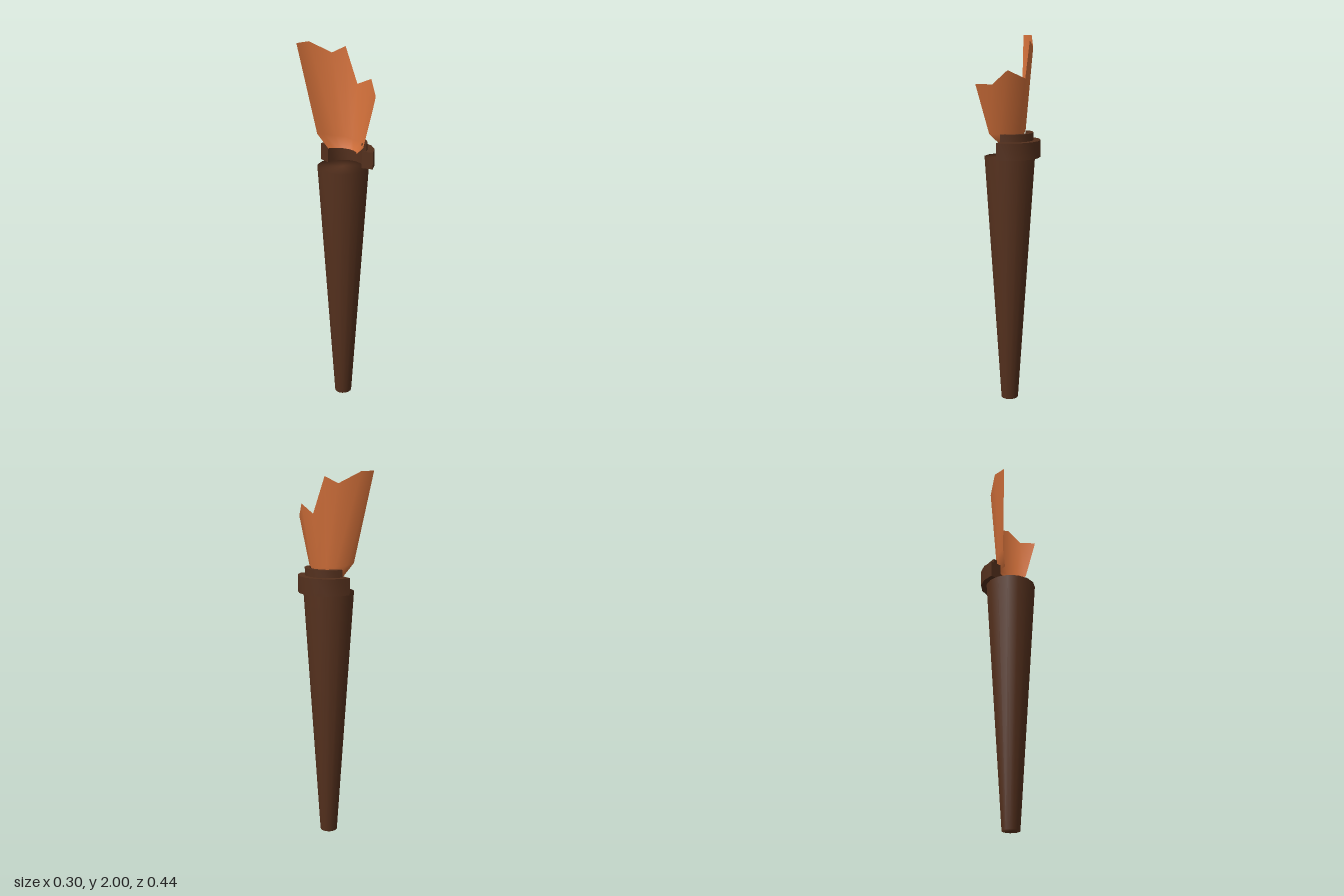
import * as THREE from 'three';
import { mergeVertices, toCreasedNormals } from 'three/addons/utils/BufferGeometryUtils.js';

const wood = new THREE.MeshStandardMaterial({ color: 0x54301d });
const flameMaterial = new THREE.MeshStandardMaterial({ color: 0xd2703a, side: THREE.DoubleSide });
const rad = THREE.MathUtils.degToRad;

function addPart(group, name, geometry, material) {
  const mesh = new THREE.Mesh(geometry, material);
  mesh.name = name;
  group.add(mesh);
  return mesh;
}

// Tapered handle with smooth shading running over the closed ends
function handleGeometry() {
  const g = new THREE.CylinderGeometry(0.136, 0.047, 1.37, 15, 1, false, rad(108.4));
  g.deleteAttribute('uv');
  g.deleteAttribute('normal');
  const merged = mergeVertices(g, 1e-4);
  merged.computeVertexNormals();
  return merged.translate(-0.015, 0.685, 0);
}

// Half ring standing on y, opening towards -x, with slanted ends
function halfRingGeometry(inner, outer, y, height, outerArc, innerArc) {
  const steps = 7;
  const arc = (r, from, to) => Array.from({ length: steps + 1 }, (_, i) => {
    const a = rad(from + (to - from) * i / steps);
    return new THREE.Vector2(r * Math.cos(a), r * Math.sin(a));
  });
  const shape = new THREE.Shape([
    ...arc(outer, outerArc[0], outerArc[1]),
    ...arc(inner, innerArc[1], innerArc[0]),
  ]);
  const g = new THREE.ExtrudeGeometry(shape, { depth: height, bevelEnabled: false });
  g.rotateX(-Math.PI / 2);
  return toCreasedNormals(g, rad(40)).translate(-0.012, y, 0);
}

// Flared sheet from three rows of points: foot, bend and jagged tip
function flameGeometry() {
  const rows = [
    [[-0.03, 1.455, -0.085], [0, 1.45, -0.077], [0.018, 1.45, -0.055], [0.03, 1.45, -0.03],
      [0.035, 1.45, 0.008], [0.026, 1.45, 0.042], [0.008, 1.45, 0.07], [-0.016, 1.45, 0.086]],
    [[-0.05, 1.53, -0.14], [-0.01, 1.52, -0.125], [0.03, 1.51, -0.08], [0.05, 1.51, -0.035],
      [0.06, 1.5, 0.008], [0.045, 1.5, 0.07], [0.012, 1.5, 0.112], [-0.034, 1.5, 0.14]],
    [[-0.105, 2, -0.222], [-0.03, 2, -0.2], [0.05, 1.94, -0.115], [0.08, 1.975, -0.05],
      [0.1, 1.785, 0.01], [0.07, 1.83, 0.115], [0.02, 1.76, 0.175], [-0.055, 1.76, 0.22]],
  ];
  const n = rows[0].length;
  const index = [];
  for (let r = 0; r < rows.length - 1; r++) {
    for (let i = 0; i < n - 1; i++) {
      const a = r * n + i;
      index.push(a, a + n, a + 1, a + 1, a + n, a + n + 1);
    }
  }
  const g = new THREE.BufferGeometry();
  g.setAttribute('position', new THREE.Float32BufferAttribute(rows.flat(2), 3));
  g.setIndex(index);
  g.computeVertexNormals();
  return g;
}

export function createModel() {
  const torch = new THREE.Group();
  torch.name = 'torch';
  addPart(torch, 'handle', handleGeometry(), wood);
  addPart(torch, 'collar', halfRingGeometry(0.1, 0.163, 1.37, 0.09, [-76, 82], [-76, 89]), wood);
  addPart(torch, 'upperRing', halfRingGeometry(0.1, 0.126, 1.44, 0.06, [-74, 75], [-74, 75]), wood);
  addPart(torch, 'flame', flameGeometry(), flameMaterial);
  return torch;
}
